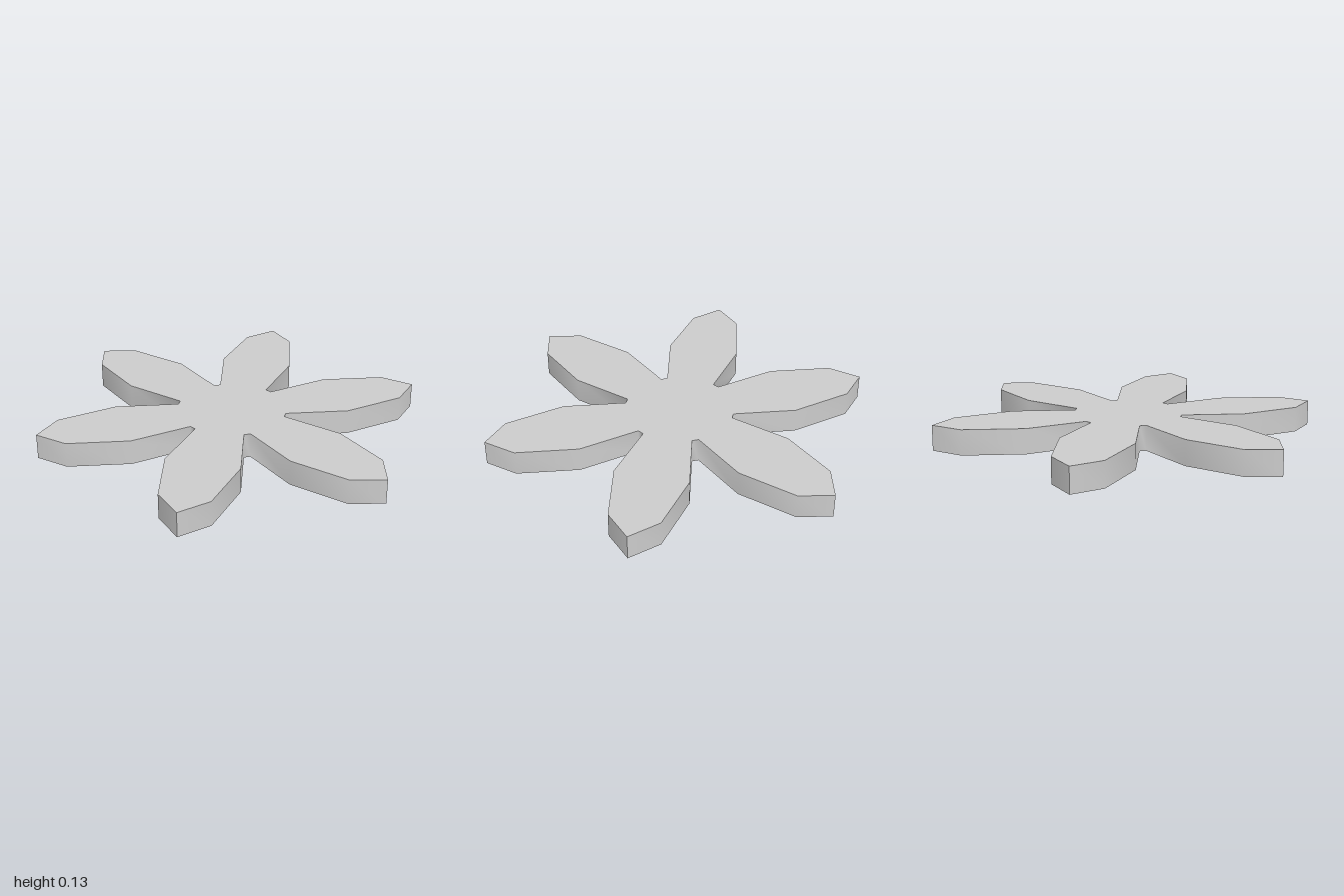
import * as THREE from 'three';
import { toCreasedNormals } from 'three/addons/utils/BufferGeometryUtils.js';

const PETALS = 6;
const THICKNESS = 0.13;

// One petal outline pointing along +y, from its left root round the tip to its right root
const half = [[0.125, 0.25], [0.186, 0.565], [0.125, 0.875]];
const petal = [
  ...half.map(([x, y]) => new THREE.Vector2(-x, y)),
  new THREE.Vector2(0, 1),
  ...half.slice().reverse().map(([x, y]) => new THREE.Vector2(x, y)),
];

export function createModel() {
  const group = new THREE.Group();
  group.name = 'flower';

  // Repeat the petal clockwise to close the whole outline
  const centre = new THREE.Vector2();
  const outline = [];
  for (let i = 0; i < PETALS; i++) {
    const angle = (-i * 2 * Math.PI) / PETALS;
    for (const p of petal) outline.push(p.clone().rotateAround(centre, angle));
  }

  // Flat slab lying on the ground; rim is smooth except at the petal tips
  const slab = new THREE.ExtrudeGeometry(new THREE.Shape(outline), {
    depth: THICKNESS,
    bevelEnabled: false,
  });
  slab.rotateX(-Math.PI / 2);

  const mesh = new THREE.Mesh(
    toCreasedNormals(slab, THREE.MathUtils.degToRad(80)),
    new THREE.MeshStandardMaterial({ color: 0xcccccc })
  );
  mesh.name = 'petals';
  group.add(mesh);
  return group;
}
